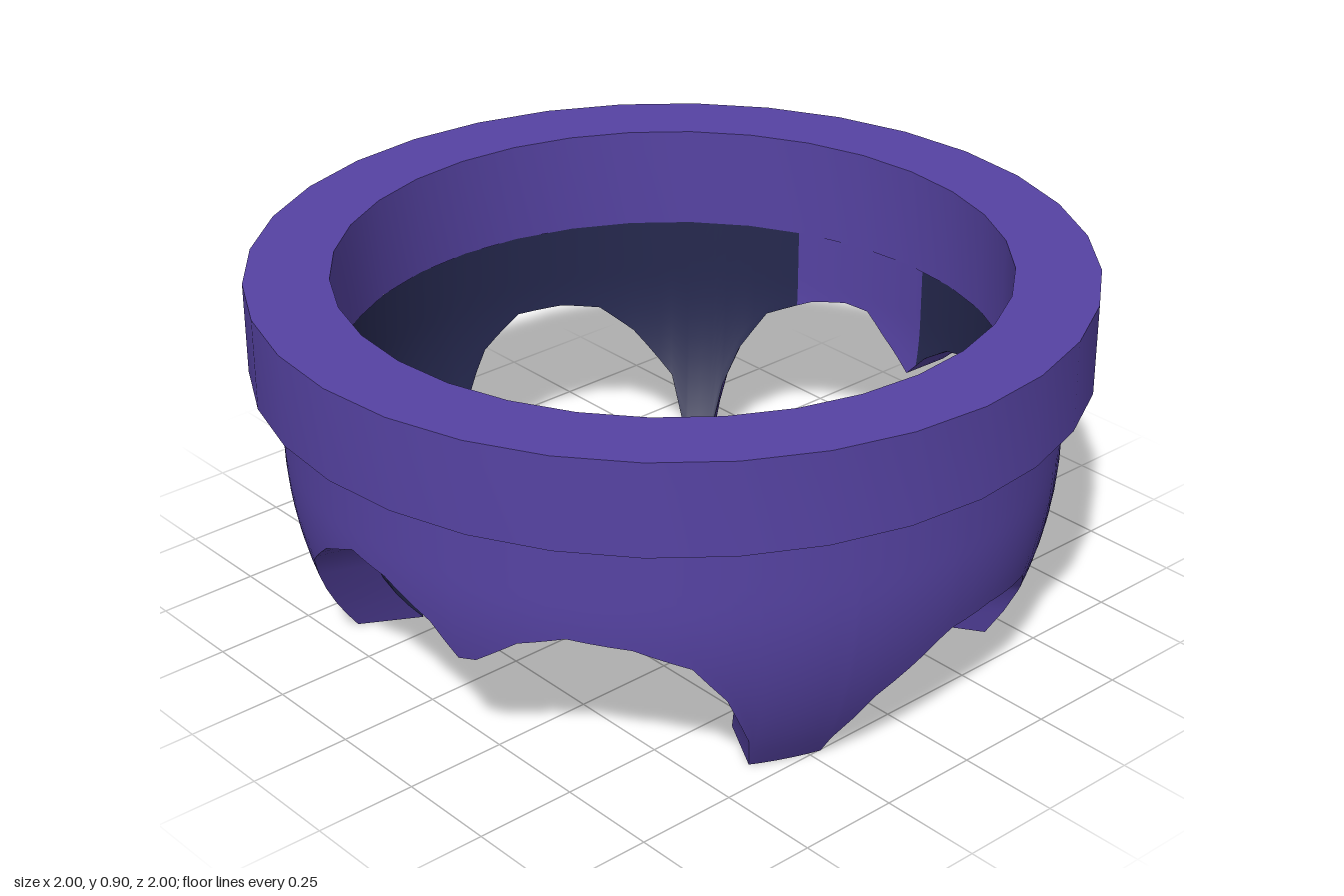
import * as THREE from 'three';
import { toCreasedNormals } from 'three/addons/utils/BufferGeometryUtils.js';

const RIM_BASE = 0.675, LINING_TOP = 0.645, CENTRE_Y = 0.5, OUTER = 0.93, INNER = 0.8;

// Broken lower edge of the bowl: [degrees from the front towards +x, height]
const EDGE = [
  [0, 0.28], [2, 0.295], [10.8, 0.3], [23, 0.27], [29.8, 0.16], [32, 0.08], [33.5, 0],   // front opening
  [46.5, 0], [47, 0.07], [50, 0.25], [54.5, 0.35], [60, 0.405], [67, 0.46], [72.5, 0.485], // front left leg
  [78, 0.465], [84, 0.41], [88, 0.35], [91, 0.38], [95, 0.42], [99, 0.47], [104, 0.475],   // left stub
  [111, 0.455], [120, 0.4], [125, 0.3], [128, 0.2], [129.5, 0.1], [130.5, 0],              // left back opening
  [135, 0], [135.5, 0.08], [138.5, 0.22], [146, 0.34], [152.5, 0.41], [160, 0.43], [169, 0.43], // back leg
  [177, 0.36], [182.5, 0.26], [184, 0.16], [188, 0.16], [192, 0.27], [203, 0.29],          // back stub
  [214, 0.3], [220, 0.19], [225, 0.08], [228, 0],                                          // right back opening
  [240.5, 0], [244, 0.1], [251, 0.29], [260, 0.4], [268, 0.46], [275, 0.44], [283, 0.37],  // right back leg
  [287, 0.29], [290, 0.3], [297, 0.38], [304, 0.415], [313, 0.4], [321, 0.35], [326, 0.25], // right stub
  [330, 0.1], [331, 0], [343.7, 0], [344.5, 0.05], [350, 0.17],                            // front right leg
];

// Columns around the bowl, no wider than three degrees
function makeColumns() {
  const columns = [];
  EDGE.forEach(([a, y], i) => {
    const [b, y2] = i + 1 < EDGE.length ? EDGE[i + 1] : [360, EDGE[0][1]];
    const n = Math.ceil((b - a) / 3);
    for (let k = 0; k < n; k++) columns.push({ deg: a + (b - a) * k / n, y: y + (y2 - y) * k / n });
  });
  return columns;
}

// Cylinder that turns into a sphere below its centre
function radiusAt(y, r) {
  const d = Math.max(0, CENTRE_Y - y);
  return Math.sqrt(r * r - d * d);
}

// Closed band of quads; place(column, t) returns [radius, height]
function band(columns, rows, place, flip, groupOf) {
  const pos = [], index = [], geo = new THREE.BufferGeometry();
  for (const c of columns) {
    const a = THREE.MathUtils.degToRad(c.deg);
    for (let j = 0; j <= rows; j++) {
      const [r, y] = place(c, j / rows);
      pos.push(Math.sin(a) * r, y, Math.cos(a) * r);
    }
  }
  columns.forEach((c, i) => {
    const p = i * (rows + 1), q = ((i + 1) % columns.length) * (rows + 1);
    if (groupOf) geo.addGroup(index.length, rows * 6, groupOf(c.deg));
    for (let j = 0; j < rows; j++) {
      const [a, b, d, e] = [p + j, p + j + 1, q + j + 1, q + j];
      if (flip) index.push(a, d, b, a, e, d);
      else index.push(a, b, d, a, d, e);
    }
  });
  geo.setAttribute('position', new THREE.Float32BufferAttribute(pos, 3));
  geo.setIndex(index);
  geo.computeVertexNormals();
  return geo;
}

export function createModel() {
  const group = new THREE.Group();
  group.name = 'brokenBowlRing';
  const purple = new THREE.MeshStandardMaterial({ color: 0x5643a3 });
  purple.name = 'purple';
  const navy = new THREE.MeshStandardMaterial({ color: 0x25284e });
  navy.name = 'navy';
  const add = (name, geo, mat) => {
    const mesh = new THREE.Mesh(geo, mat);
    mesh.name = name;
    group.add(mesh);
  };

  // Heavy collar with its inner wall
  const profile = [
    [INNER, LINING_TOP], [OUTER - 0.03, RIM_BASE], [1, RIM_BASE], [1, 0.9], [INNER, 0.9], [INNER, LINING_TOP],
  ].map(([x, y]) => new THREE.Vector2(x, y));
  add('collar', toCreasedNormals(new THREE.LatheGeometry(profile, 32), 0.5), purple);

  const columns = makeColumns();
  const wall = (radius, top) => (c, t) => {
    const y = top + (c.y - top) * t;
    return [radiusAt(y, radius), y];
  };

  // Outside of the bowl
  add('bowlOutside', band(columns, 12, wall(OUTER, RIM_BASE), false), purple);

  // Lining, with a bare patch on each side
  const bare = (deg) => ((deg > 84 && deg < 112) || (deg > 245 && deg < 281) ? 1 : 0);
  add('bowlLining', band(columns, 12, wall(INNER, LINING_TOP), true, bare), [navy, purple]);

  // Thickness of the shell along the broken edge
  const cut = band(columns, 1, (c, t) => [radiusAt(c.y, t ? INNER : OUTER), c.y], false);
  add('brokenEdge', toCreasedNormals(cut, 0.5), purple);

  return group;
}
